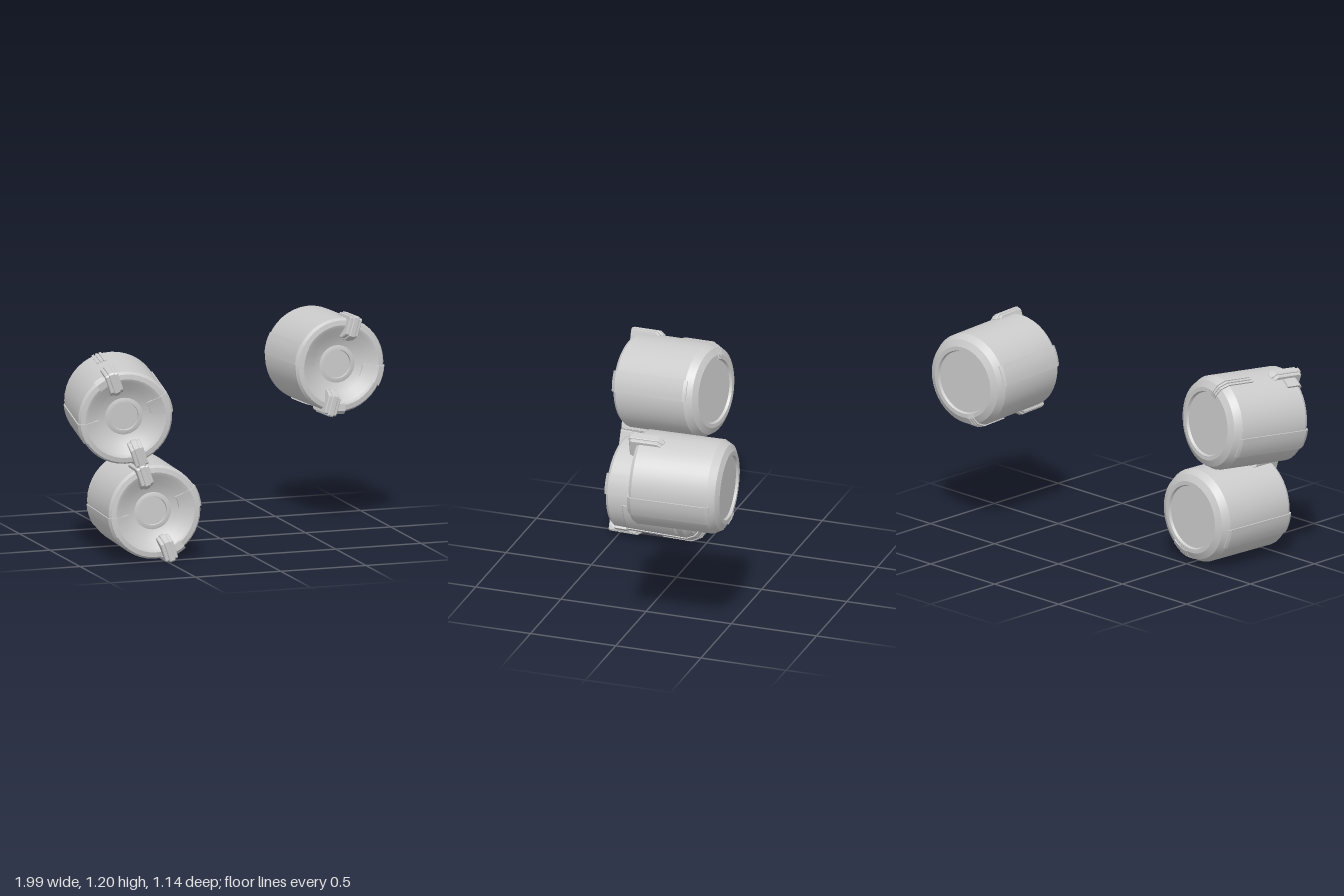
import * as THREE from 'three';
import { toCreasedNormals } from 'three/addons/utils/BufferGeometryUtils.js';

const material = new THREE.MeshStandardMaterial({ color: 0xcccccc });
const twoSided = new THREE.MeshStandardMaterial({ color: 0xcccccc, side: THREE.DoubleSide });
const rad = THREE.MathUtils.degToRad;
const vectors = (pts) => pts.map(([r, y]) => new THREE.Vector2(r, y));

// Pods are built upright: profiles are [radius, height], with the front at the top.
function lathe(pts, segments, start = 0, sweep = Math.PI * 2) {
  return toCreasedNormals(new THREE.LatheGeometry(vectors(pts), segments, start, sweep), 0.35);
}

// Raised part sweeping a closed profile between two angles, with flat end caps
function arcPart(name, pts, from, to) {
  const part = new THREE.Group();
  part.name = name;
  const segments = Math.max(1, Math.ceil((to - from) / 8));
  part.add(new THREE.Mesh(lathe([...pts, pts[0]], segments, rad(from + 90), rad(to - from)), material));
  for (const angle of [from, to]) {
    const cap = new THREE.Mesh(new THREE.ShapeGeometry(new THREE.Shape(vectors(pts))), twoSided);
    cap.rotation.y = rad(angle);
    part.add(cap);
  }
  return part;
}

// Plate cut from a radial outline, centred on its own width
function radialPlate(pts, width) {
  const geometry = new THREE.ExtrudeGeometry(new THREE.Shape(vectors(pts)), {
    depth: width - 0.008, bevelThickness: 0.004, bevelSize: 0.004, bevelOffset: -0.004, bevelSegments: 1,
  });
  geometry.translate(0, 0, -(width - 0.008) / 2);
  return new THREE.Mesh(geometry, material);
}

const bodyProfile = [
  [0, -0.243], [0.176, -0.243], [0.182, -0.257], [0.205, -0.257], [0.242, -0.238], [0.264, -0.195],
  [0.264, 0.235], [0.252, 0.253], [0.225, 0.257], [0.205, 0.25], [0.16, 0.217], [0.105, 0.2],
  [0.088, 0.205], [0.08, 0.205], [0.078, 0.193], [0, 0.193],
];
const bandProfile = [
  [0.24, -0.21], [0.262, -0.208], [0.27, -0.19], [0.27, 0.238], [0.257, 0.261],
  [0.225, 0.266], [0.145, 0.224], [0.145, 0.195], [0.24, 0.195],
];
const ridgeProfile = [
  [0.18, -0.235], [0.18, -0.26], [0.207, -0.264], [0.247, -0.243], [0.271, -0.197], [0.271, -0.03], [0.25, -0.03],
];
const tabProfile = [[0.25, 0.16], [0.276, 0.165], [0.276, 0.24], [0.255, 0.266], [0.215, 0.264], [0.215, 0.23]];
const clipProfile = [
  [0.25, 0.1], [0.268, 0.1], [0.288, 0.13], [0.288, 0.295], [0.28, 0.302],
  [0.172, 0.302], [0.14, 0.245], [0.14, 0.2], [0.22, 0.2],
];
const clipSideProfile = [
  [0.25, 0.112], [0.265, 0.112], [0.28, 0.135], [0.28, 0.287], [0.272, 0.294],
  [0.178, 0.294], [0.148, 0.242], [0.148, 0.2], [0.22, 0.2],
];
const panelProfile = [[0.25, -0.157], [0.266, -0.157], [0.272, -0.147], [0.272, 0.143], [0.266, 0.153], [0.25, 0.153]];
const plateProfile = [
  [0.19, -0.235], [0.207, -0.26], [0.245, -0.241], [0.268, -0.196],
  [0.268, 0.236], [0.255, 0.256], [0.24, 0.24],
];

function createPod({ name, position, facing, roll, sidePanel }) {
  const pod = new THREE.Group();
  pod.name = name;
  const upright = new THREE.Group();
  upright.rotation.x = Math.PI / 2;
  pod.add(upright);

  const body = new THREE.Mesh(lathe(bodyProfile, 40), material);
  body.name = 'body';
  upright.add(body);

  // Bands along both sides
  for (const angle of [0, 180]) upright.add(arcPart('sideBand', bandProfile, angle - 13, angle + 13));

  // Clips hooked over the front rim
  for (const angle of [90, -90]) {
    const clip = new THREE.Group();
    clip.name = 'rimClip';
    clip.rotation.y = rad(angle);
    clip.add(radialPlate(clipProfile, 0.034), radialPlate(clipSideProfile, 0.074));
    upright.add(clip);
  }

  // Ridges folding over the back edge, and a tab beside the lower clip
  for (const offset of [-4.5, 0, 4.5]) {
    upright.add(arcPart('backRidge', ridgeProfile, -91.5 + offset, -88.5 + offset));
  }
  upright.add(arcPart('frontTab', tabProfile, -80, -68));

  // Extra plating on one pod
  if (sidePanel) {
    upright.add(arcPart('sidePanel', panelProfile, -59, -24));
    upright.add(arcPart('lowerPlate', plateProfile, -100, -69));
  }

  // Aim the front, then roll around the axis
  pod.position.set(...position);
  pod.lookAt(pod.position.clone().add(new THREE.Vector3(...facing)));
  pod.rotateZ(rad(roll));
  return pod;
}

export function createModel() {
  const model = new THREE.Group();
  model.name = 'pods';
  model.add(
    createPod({ name: 'upperPod', position: [-0.692, 0.845, 0.252], facing: [-0.16, -0.07, 1], roll: 199 }),
    createPod({ name: 'lowerPod', position: [-0.546, 0.289, 0.257], facing: [-0.06, 0, 1], roll: 18, sidePanel: true }),
    createPod({ name: 'farPod', position: [0.708, 0.925, -0.302], facing: [0.065, 0.02, 1], roll: -17 }),
  );
  return model;
}
